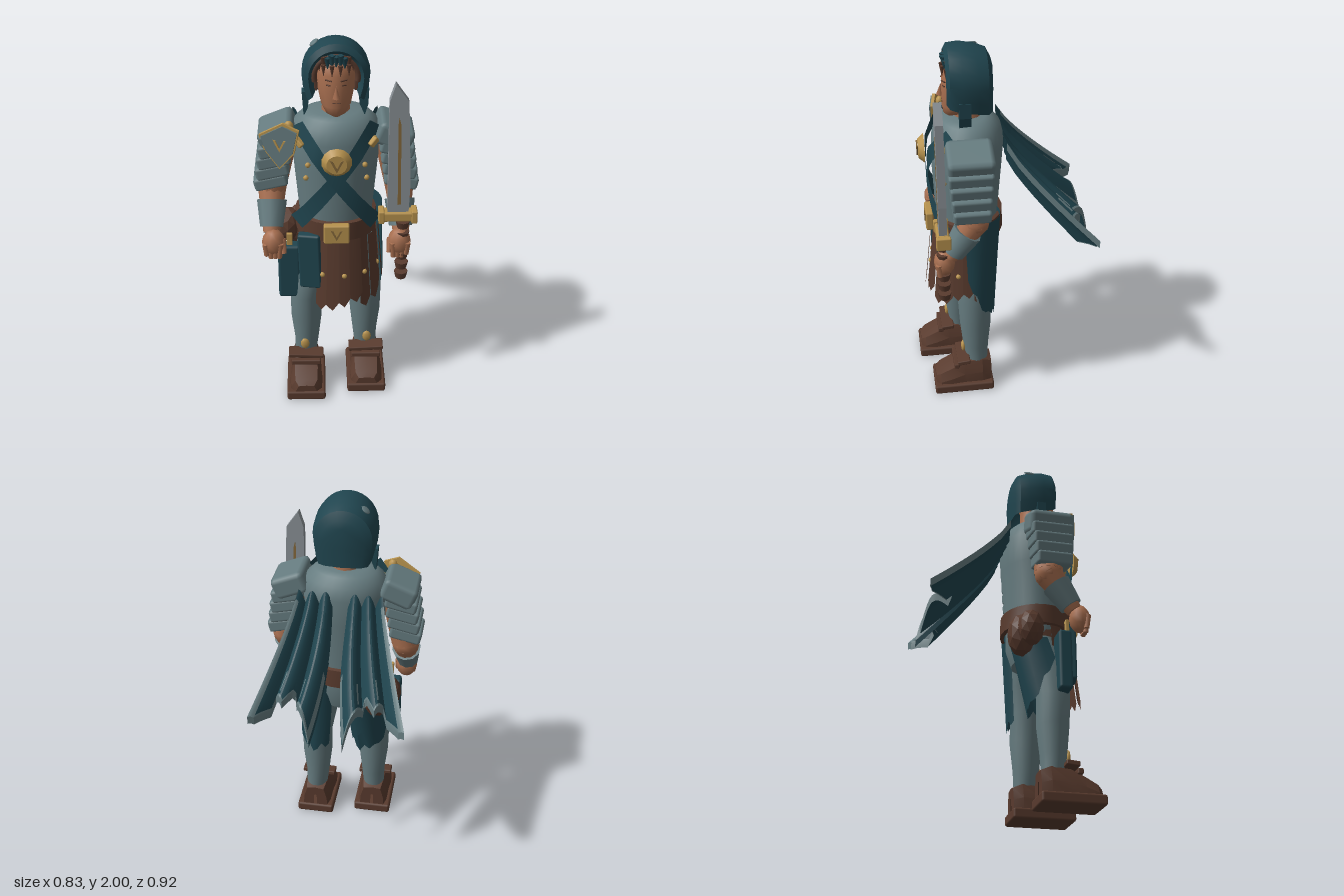
import * as THREE from 'three';
import { toCreasedNormals } from 'three/addons/utils/BufferGeometryUtils.js';
import { RoundedBoxGeometry } from 'three/addons/geometries/RoundedBoxGeometry.js';

const mat = (name, color) => Object.assign(new THREE.MeshStandardMaterial({ color, side: THREE.DoubleSide }), { name });
const teal = mat('teal cloth', 0x20454f), steel = mat('steel', 0x667c80), skin = mat('skin', 0xa86f50);
const brown = mat('brown leather', 0x593b2e), gold = mat('gold', 0xb8934e), silver = mat('silver blade', 0x8a9196);
const bronze = mat('bronze inlay', 0x86693b);
const V = (x, y, z) => new THREE.Vector3(x, y, z);

export function createModel() {
  const model = new THREE.Group();
  model.name = 'warrior';
  const add = (name, geo, m, x = 0, y = 0, z = 0, rx = 0, ry = 0, rz = 0) => {
    const mesh = new THREE.Mesh(geo, m);
    mesh.name = name;
    mesh.position.set(x, y, z);
    mesh.rotation.set(rx, ry, rz);
    model.add(mesh);
    return mesh;
  };
  const box = (name, m, w, h, d, ...p) =>
    add(name, new RoundedBoxGeometry(w, h, d, 1, Math.min(w, h, d) * 0.22), m, ...p);
  // surface through rows of points
  const grid = (rows, crease = 0.6) => {
    const n = rows[0].length, idx = [];
    for (let i = 0; i < rows.length - 1; i++)
      for (let j = 0; j < n - 1; j++) {
        const a = i * n + j, b = a + 1, c = a + n, d = c + 1;
        idx.push(a, c, b, b, c, d);
      }
    const g = new THREE.BufferGeometry().setFromPoints(rows.flat());
    g.setIndex(idx);
    return toCreasedNormals(g, crease);
  };
  // elliptical rings [y, rx, rz, cz, cx]
  const loft = (rings, n = 24, crease = 0.6) => grid(rings.map(([y, rx, rz, cz, cx = 0]) =>
    Array.from({ length: n + 1 }, (_, i) => {
      const a = (i % n) / n * Math.PI * 2;
      return V(cx + rx * Math.sin(a), y, cz - rz * Math.cos(a));
    })), crease);
  const limb = (name, m, a, b, r0, r1, n = 12) => {
    const d = b.clone().sub(a);
    const mesh = add(name, new THREE.CylinderGeometry(r1, r0, d.length(), n), m);
    mesh.position.copy(a).addScaledVector(d, 0.5);
    mesh.quaternion.setFromUnitVectors(V(0, 1, 0), d.normalize());
  };
  const plate = (name, m, pts, depth, ...p) => add(name, new THREE.ExtrudeGeometry(
    new THREE.Shape(pts.map(q => new THREE.Vector2(...q))), { depth, bevelEnabled: false }), m, ...p);
  const ball = (name, m, x, y, z, sx, sy, sz, n = 10) => {
    const mesh = add(name, new THREE.SphereGeometry(1, n, Math.max(5, n - 4)), m, x, y, z);
    mesh.scale.set(sx, sy, sz);
    return mesh;
  };
  const chevron = (name, m, s, x, y, z) => plate(name, m,
    [[-s, s], [0, -s], [s, s], [s * 0.6, s * 0.85], [0, -s * 0.4], [-s * 0.6, s * 0.85]], 0.006, x, y, z);

  // torso, pelvis and neck
  add('breastplate', loft([[0.98, 0.18, 0.16, 0.18], [1.1, 0.19, 0.165, 0.18], [1.35, 0.212, 0.18, 0.175], [1.5, 0.23, 0.183, 0.168],
    [1.57, 0.205, 0.168, 0.168], [1.61, 0.165, 0.13, 0.17], [1.625, 0.12, 0.1, 0.17], [1.625, 0.01, 0.01, 0.17]], 28), steel);
  add('pelvis', loft([[0.72, 0.02, 0.02, 0.17], [0.8, 0.15, 0.12, 0.17], [0.9, 0.185, 0.15, 0.17], [1.0, 0.185, 0.16, 0.18]]), steel);
  add('neck', loft([[1.58, 0.085, 0.08, 0.165], [1.64, 0.068, 0.068, 0.165], [1.75, 0.068, 0.068, 0.17]], 14), skin);

  // head and face
  add('head', loft([[1.625, 0.02, 0.02, 0.25], [1.64, 0.05, 0.05, 0.235], [1.68, 0.073, 0.08, 0.212], [1.76, 0.09, 0.098, 0.195],
    [1.84, 0.094, 0.1, 0.19], [1.9, 0.088, 0.088, 0.185], [1.94, 0.03, 0.04, 0.185]], 18, 1), skin);
  add('nose', new THREE.ConeGeometry(0.018, 0.065, 4), skin, 0, 1.765, 0.297, -0.12);
  box('mouth', brown, 0.038, 0.005, 0.008, 0, 1.705, 0.288);
  for (const s of [-1, 1]) {
    box('eye', brown, 0.022, 0.006, 0.008, s * 0.037, 1.796, 0.283, 0, s * 0.35);
    box('eyebrow', brown, 0.034, 0.006, 0.008, s * 0.037, 1.82, 0.283, 0, s * 0.35, s * 0.12);
    ball('ear', skin, s * 0.09, 1.77, 0.19, 0.015, 0.03, 0.02);
    box('sideHair', brown, 0.016, 0.12, 0.05, s * 0.099, 1.81, 0.215, 0, 0, -s * 0.06);
  }
  for (let i = -4; i <= 4; i++) {
    const x = i * 0.02, middle = Math.abs(i) < 3;
    add('hairLock', new THREE.ConeGeometry(0.018, 0.07 + (i & 1) * 0.02, 4), middle ? teal : brown, x, 1.905 - Math.abs(i) * 0.005, 0.276 - x * x * 5, Math.PI + 0.08);
    if (i & 1) add('hairTip', new THREE.ConeGeometry(0.012, 0.06, 4), brown, x, 1.865, 0.289 - x * x * 5, Math.PI);
  }
  add('hairLining', new THREE.TorusGeometry(0.106, 0.015, 6, 20, Math.PI * 1.15), brown, 0, 1.83, 0.25, 0, 0, -0.075 * Math.PI);

  // hood: arches [z, half width, top, bottom], inner lining first
  add('hood', grid([[0.13, 0.11, 1.93, 1.76], [0.26, 0.118, 1.945, 1.75], [0.277, 0.132, 1.965, 1.73], [0.26, 0.153, 1.995, 1.71], [0.2, 0.165, 2, 1.69],
    [0.12, 0.163, 1.985, 1.68], [0.07, 0.148, 1.965, 1.67], [0.048, 0.11, 1.92, 1.67], [0.038, 0, 1.88, 1.67]].map(([z, w, top, bot]) => {
    const yc = Math.max(top - w * 1.05, bot + 0.01), row = [V(w * 0.86, bot, z), V(w * 0.96, (bot + yc) / 2, z)];
    for (let i = 0; i <= 14; i++) row.push(V(w * Math.cos(i / 14 * Math.PI), yc + (top - yc) * Math.sin(i / 14 * Math.PI), z));
    return row.concat([V(-w * 0.96, (bot + yc) / 2, z), V(-w * 0.86, bot, z)]);
  }), 0.7), teal);
  plate('rightHoodTail', teal, [[-0.02, 0.13], [0.015, 0.13], [0.01, 0.05], [-0.012, 0], [-0.015, 0.05]], 0.05, -0.145, 1.6, 0.16);
  plate('leftHoodTail', teal, [[-0.03, 0.14], [0.025, 0.14], [0.022, 0.06], [0.005, 0], [-0.02, 0.06]], 0.06, 0.135, 1.61, 0.16);
  ball('hoodPatch', steel, -0.104, 1.952, 0.13, 0.026, 0.007, 0.03).rotation.z = 0.65;

  // crossed straps, medallion and studs
  for (const s of [-1, 1]) {
    const rows = [];
    for (let i = 0; i <= 12; i++) {
      const t = i / 12, cx = -0.19 + 0.39 * t, y = 1.59 - 0.53 * t;
      rows.push([-0.033, 0.033].map(o => {
        const x = cx + o * 0.85;
        return V(s * x, y + o * 0.75, 0.175 + (s > 0 ? 0.21 : 0.203) * Math.sqrt(1 - (x / 0.27) ** 2) - Math.max(0, 0.25 - t) * 0.2);
      }));
    }
    add('chestStrap', grid(rows), teal);
    for (const [x, y, z] of [[0.185, 1.52, 0.29], [0.14, 1.39, 0.32], [0.15, 1.31, 0.305]])
      ball('stud', gold, s * x, y, z, 0.014, 0.014, 0.014, 8);
    box('strapClasp', gold, 0.05, 0.03, 0.03, s * 0.18, 1.51, 0.31, 0, s * 0.6, s * 0.7);
  }
  add('medallion', new THREE.CylinderGeometry(0.05, 0.075, 0.03, 14), gold, 0, 1.44, 0.405, Math.PI / 2);
  chevron('medallionMark', bronze, 0.034, 0, 1.435, 0.422);

  // belt, buckle and pouches
  add('belt', loft([[0.965, 0.19, 0.17, 0.18], [0.97, 0.208, 0.19, 0.18], [1.075, 0.208, 0.188, 0.18], [1.08, 0.19, 0.17, 0.18]]), brown);
  box('buckle', gold, 0.13, 0.105, 0.04, 0, 1.03, 0.38);
  chevron('buckleMark', bronze, 0.03, 0, 1.03, 0.398);
  for (const [x, y, z, r, h] of [[-0.19, 0.89, 0.06, 0.08, 0.12], [-0.25, 0.91, 0.09, 0.07, 0.1]])
    add('pouch', toCreasedNormals(new THREE.IcosahedronGeometry(1, 1), 0.2), brown, x, y, z).scale.set(r, h, r);
  box('largeCase', teal, 0.115, 0.32, 0.07, -0.245, 0.735, 0.26);
  box('smallCase', teal, 0.115, 0.32, 0.05, -0.135, 0.84, 0.335, 0, -0.2, 0.03);
  box('caseLoop', gold, 0.03, 0.07, 0.02, -0.24, 0.94, 0.285);

  // leather strip skirt, open where the cases hang
  for (let i = 0; i < 13; i++) {
    if (i === 2 || i === 3) continue;
    const a0 = -1.65 + i * 0.27, end = 0.545 + (i * 5 % 4) * 0.02 + Math.abs(i - 6) * 0.008, off = (i & 1) * 0.012;
    const at = (a, y) => {
      const k = (0.98 - y) / 0.4;
      return V(0.015 + (0.195 + 0.035 * k + off) * Math.sin(a), y, 0.175 + (0.185 + 0.045 * k + off) * Math.cos(a));
    };
    add('skirtStrip', grid([[0.98, 0.98, 0.98], [0.8, 0.8, 0.8], [end + 0.06, end + 0.045, end + 0.07], [end + 0.03, end, end + 0.05]].map(r =>
      r.map((y, j) => at(a0 + j * 0.15, y))), 0.2), brown);
    const p = at(a0 + 0.15, 0.77);
    if (i % 2 === 0 && p.z > 0.2) ball('skirtStud', gold, p.x, p.y, p.z, 0.014, 0.014, 0.014, 8);
  }

  // ragged thigh wraps: long over the left hip, round the back of the right thigh
  for (const [s, top, dz, a0, step] of [[1, 1.1, 0, -0.35, 0.215], [-1, 0.87, 0.04, -0.1, 0.27]]) {
    const rows = [0, 0.35, 0.7, 1].map(t => Array.from({ length: 13 }, (_, j) => {
      const a = a0 + j * step, low = 0.47 + [0.06, 0.03, 0.05, 0, 0.02][j % 5] + Math.max(0, 5 - j) * 0.045;
      const r = 0.125 - 0.018 * t;
      return V(s * (0.115 + 0.03 * t + r * Math.cos(a)), top + (low - top) * t, 0.165 + dz * t - r * Math.sin(a) * (1.2 - 0.17 * t));
    }));
    add('thighWrap', grid(rows), teal);
  }

  // legs and boots, right leg a step forward
  for (const [s, dz] of [[1, 0], [-1, 0.06]]) {
    const x = s * 0.16;
    add('leg', loft([[0.18, 0.06, 0.06, 0.155 + dz, x + s * 0.005], [0.27, 0.066, 0.07, 0.16 + dz, x], [0.42, 0.083, 0.085, 0.16 + dz, x],
      [0.57, 0.085, 0.088, 0.165 + dz, x], [0.72, 0.095, 0.1, 0.165 + dz * 0.8, x - s * 0.02], [0.9, 0.095, 0.105, 0.165, s * 0.1]], 18), steel);
    ball('ankleStud', gold, x + s * 0.01, 0.26, 0.232 + dz, 0.024, 0.034, 0.012);
    const b = s * 0.165;
    box('sole', brown, 0.21, 0.055, 0.33, b, 0.0275, 0.235 + dz);
    // boot upper: cross-sections [z, half width, height]
    add('boot', grid([[0.08, 0.01, 0.12], [0.08, 0.07, 0.17], [0.13, 0.083, 0.19], [0.23, 0.083, 0.18], [0.3, 0.09, 0.145], [0.365, 0.085, 0.11], [0.39, 0.06, 0.09], [0.39, 0.01, 0.05]]
      .map(([z, w, h]) => [[-1, 0.04], [-0.97, h * 0.6], [-0.7, h], [0, h * 1.04], [0.7, h], [0.97, h * 0.6], [1, 0.04]].map(([u, y]) => V(b + u * w, y, z + dz))), 0.3), brown);
    box('bootCuff', brown, 0.19, 0.025, 0.07, b, 0.2, 0.235 + dz, 0.1, 0, s * 0.05);
    box('bootStrap', brown, 0.16, 0.03, 0.03, b, 0.17, 0.275 + dz);
  }

  // arms, bracers, hands and shoulder armour
  for (const s of [-1, 1]) {
    const sh = V(s * 0.27, 1.48, 0.18), el = V(s * 0.325, 1.19, 0.17), wr = V(s * 0.33, 0.99, 0.3);
    limb('upperArm', skin, sh, el, 0.085, 0.075);
    ball('elbow', skin, el.x, el.y, el.z, 0.075, 0.075, 0.075, 12);
    limb('forearm', skin, el, wr, 0.074, 0.042);
    limb('bracer', steel, el.clone().lerp(wr, 0.3), el.clone().lerp(wr, 0.88), 0.078, 0.06, 10);
    ball('palm', skin, s * 0.32, 0.95, 0.33, 0.06, 0.075, 0.055);
    for (let i = 0; i < 4; i++)
      limb('finger', skin, V(s * (0.285 + i * 0.025), 0.96, 0.362), V(s * (0.292 + i * 0.021), 0.872 + (i === 3) * 0.015, 0.355), 0.017, 0.014, 6);
    limb('thumb', skin, V(s * 0.275, 0.97, 0.33), V(s * 0.268, 0.9, 0.36), 0.018, 0.014, 6);
    // overlapping lames
    box('shoulderCap', steel, 0.185, 0.12, 0.235, s * 0.285, 1.515, 0.185, 0, 0, -s * 0.38);
    for (let i = 0; i < 4; i++)
      box('shoulderLame', steel, 0.17, 0.07, 0.225 - i * 0.012, s * (0.3 + i * 0.009), 1.455 - i * 0.063, 0.188, 0, 0, -s * 0.22);
  }

  // crest plate on the right shoulder
  const crest = [[-0.1, 0.05], [0.02, 0.12], [0.1, 0.085], [0.075, -0.04], [0, -0.13], [-0.075, -0.03]];
  plate('crestRim', gold, crest, 0.016, -0.275, 1.495, 0.3, 0, -0.22);
  plate('crestFace', steel, crest.map(([x, y]) => [x * 0.9, y * 0.9]), 0.009, -0.277, 1.495, 0.315, 0, -0.22);
  chevron('crestMark', gold, 0.032, -0.275, 1.5, 0.327).rotation.y = -0.22;
  ball('crestRivet', gold, -0.23, 1.585, 0.285, 0.024, 0.028, 0.02);

  // sword held upright in the left hand
  plate('blade', silver, [[0.255, 1.13], [0.36, 1.13], [0.364, 1.3], [0.342, 1.74], [0.278, 1.83], [0.25, 1.74]], 0.04, 0, 0, 0.314);
  for (const z of [0.312, 0.352]) plate('fuller', bronze, [[0.304, 1.18], [0.32, 1.18], [0.308, 1.62], [0.298, 1.66], [0.294, 1.62]], 0.004, 0, 0, z);
  box('guard', gold, 0.17, 0.055, 0.065, 0.31, 1.11, 0.335);
  for (const x of [0.225, 0.39]) box('guardEnd', gold, 0.03, 0.07, 0.075, x, 1.11, 0.335);
  for (let i = 0; i < 6; i++)
    add('gripRing', new THREE.CylinderGeometry(0.036, 0.028, 0.038, 8), brown, 0.335, 1.055 - i * 0.061, 0.335);

  // split cape streaming behind
  const ends = [[0, 1], [0.22, 0.88], [0.46, 0.66], [0.56, 0.84], [0.76, 0.72], [0.92, 0.97], [1, 1]];
  const len = u => {
    const k = Math.max(1, ends.findIndex(e => e[0] >= u)), [a, b] = [ends[k - 1], ends[k]];
    return a[1] + (b[1] - a[1]) * (u - a[0]) / (b[0] - a[0]);
  };
  for (const s of [-1, 1]) {
    const at = (u, v, lift) => {
      const t = v * len(u), inner = 0.04 + 0.045 * t * t - 0.012 * Math.sin(t * Math.PI), outer = 0.215 + 0.18 * t;
      const fold = Math.abs(Math.sin(u * Math.PI * 2.5));
      return V(s * (inner + (outer - inner) * u), 1.55 - 0.5 * Math.pow(t, 0.82) - (0.07 + 0.05 * t) * (1 - fold) + lift, -0.005 - 0.45 * t);
    };
    const sheet = (name, m, u0, u1, path, n) => add(name, grid(path.map(([v, lift]) =>
      Array.from({ length: n + 1 }, (_, j) => at(u0 + (u1 - u0) * j / n, v, lift))), 0.4), m);
    const steps = (v0, v1, lift) => Array.from({ length: 9 }, (_, i) => [v0 + (v1 - v0) * i / 8, lift]);
    // upper face, end and underside in one closed sheet
    sheet('cape', teal, 0, 1, [...steps(0, 1, 0), ...steps(1, 0, -0.035)], 25);
    sheet('capeEnd', steel, 0, 1, [[0.98, 0.004], [1.005, 0.004], [1.005, -0.038]], 25);
    sheet('capeTrim', steel, 0.92, 1, steps(0.05, 1, 0.005), 3);
    sheet('capeHem', steel, 0, 0.04, steps(0.5, 1, 0.005), 2);
    for (const u of [0.3, 0.64]) sheet('capeTear', steel, u, u + 0.03, steps(0.75, 0.95, 0.005), 1);
    add('capeEdge', grid(steps(0, 1, 0).map(([v]) => [at(1, v, 0.005), at(1, v, -0.037)])), steel);
    add('capeInnerEdge', grid(steps(0, 1, 0).map(([v]) => [at(0, v, 0), at(0, v, -0.035)])), teal);
  }
  return model;
}
